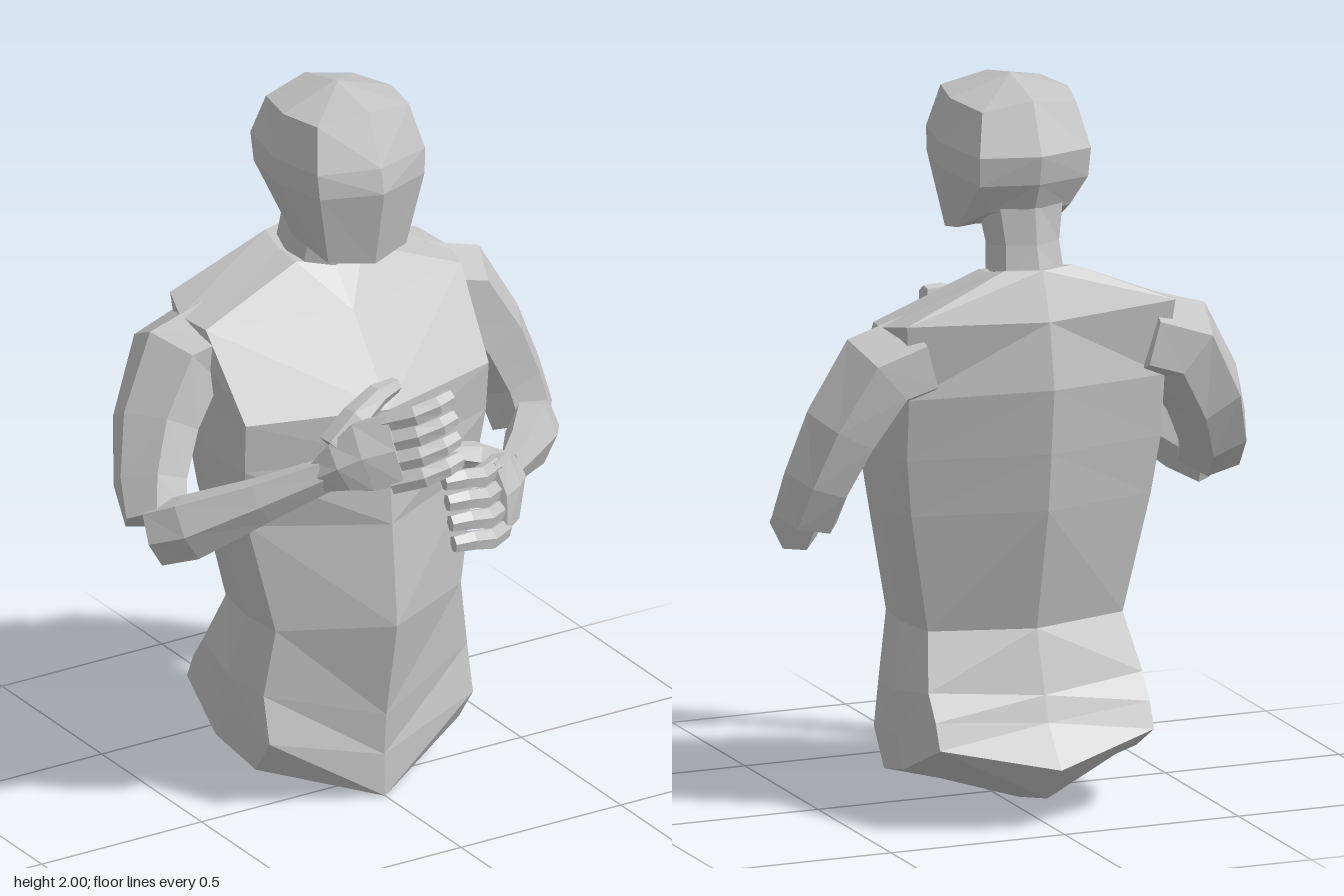
import * as THREE from 'three';

const { lerp } = THREE.MathUtils;
const V = (p) => new THREE.Vector3(p[0], p[1], p[2]);

// Skin a list of rings (counter-clockwise about the direction of travel) with flat facets and end caps
function loft(rings) {
  const out = [];
  const tri = (a, b, c) => {
    const area = b.clone().sub(a).cross(c.clone().sub(a)).length();
    if (area > 1e-7) for (const p of [a, b, c]) out.push(p.x, p.y, p.z);
  };
  const n = rings[0].length;
  for (let i = 0; i < rings.length - 1; i++) {
    for (let k = 0; k < n; k++) {
      const m = (k + 1) % n, a = rings[i], b = rings[i + 1];
      // Diagonals mirror across the two halves
      if (k < n / 2) {
        tri(a[k], a[m], b[m]);
        tri(a[k], b[m], b[k]);
      } else {
        tri(a[k], a[m], b[k]);
        tri(a[m], b[m], b[k]);
      }
    }
  }
  const cap = (ring, end) => {
    const c = ring.reduce((s, p) => s.add(p), new THREE.Vector3()).divideScalar(n);
    for (let k = 0; k < n; k++) {
      const m = (k + 1) % n;
      if (end) tri(c, ring[k], ring[m]); else tri(c, ring[m], ring[k]);
    }
  };
  cap(rings[0], false);
  cap(rings[rings.length - 1], true);
  const g = new THREE.BufferGeometry();
  g.setAttribute('position', new THREE.Float32BufferAttribute(out, 3));
  g.computeVertexNormals();
  return g;
}

// Eight-sided symmetric body; each row holds the half width, then y and z of the
// front centre, front corner, back corner and back centre
function body(rows, frontWidth, backWidth) {
  return loft(rows.map(([w, yF, zF, yFC, zFC, yBC, zBC, yB, zB]) => {
    const half = [
      [w * frontWidth, yFC, zFC],
      [w, lerp(yFC, yBC, 0.3), lerp(zFC, zBC, 0.48)],
      [w * backWidth, yBC, zBC],
    ];
    const other = half.map(([x, y, z]) => [-x, y, z]).reverse();
    return [[0, yF, zF], ...half, [0, yB, zB], ...other].map(V);
  }));
}

// Six-sided limb along a path; radii are [along ref, across] at each point
function limb(path, radii, ref) {
  const pts = path.map(V), up = V(ref);
  return loft(pts.map((p, i) => {
    const t = pts[Math.min(i + 1, pts.length - 1)].clone().sub(pts[Math.max(i - 1, 0)]).normalize();
    const u = up.clone().addScaledVector(t, -up.dot(t)).normalize();
    const v = t.clone().cross(u);
    return Array.from({ length: 6 }, (_, k) => {
      const a = ((k + 0.5) / 6) * Math.PI * 2;
      return p.clone()
        .addScaledVector(u, Math.cos(a) * radii[i][0] * 1.1)
        .addScaledVector(v, Math.sin(a) * radii[i][1]);
    });
  }));
}

export function createModel() {
  const model = new THREE.Group();
  const grey = new THREE.MeshStandardMaterial({ color: 0xc4c4c4 });
  grey.name = 'light grey';
  const add = (name, geometry, parent = model) => {
    const mesh = new THREE.Mesh(geometry, grey);
    mesh.name = name;
    parent.add(mesh);
  };

  // Torso: keel line, pelvis, waist, ribs, chest, shoulders, neck base
  add('torso', body([
    [0, 0, .12, .01, 0, .07, -.38, .17, -.48],
    [.335, 0, .12, .1, -.02, .23, -.38, .17, -.48],
    [.335, .12, .115, .2, .05, .3, -.35, .28, -.39],
    [.335, .24, .125, .33, .02, .37, -.3, .35, -.365],
    [.305, .52, .18, .52, .035, .52, -.23, .52, -.31],
    [.375, .81, .155, .83, 0, .85, -.27, .86, -.39],
    [.397, 1, .14, 1, .02, 1.01, -.29, 1.02, -.41],
    [.4, 1.14, .14, 1.14, .03, 1.18, -.31, 1.2, -.43],
    [.42, 1.36, -.04, 1.36, -.14, 1.39, -.34, 1.38, -.4],
    [.11, 1.47, -.14, 1.48, -.16, 1.51, -.32, 1.51, -.35],
  ], .95, .92));

  // Neck leaning forward into the head
  add('neck', body([
    [.1, 1.44, -.13, 1.45, -.16, 1.47, -.3, 1.47, -.34],
    [.09, 1.54, -.12, 1.55, -.14, 1.57, -.28, 1.57, -.31],
    [.11, 1.68, -.07, 1.68, -.1, 1.7, -.27, 1.7, -.295],
  ], .85, .85));

  // Head: jaw line, cheeks, brow, crown
  add('head', body([
    [.145, 1.54, .07, 1.555, .03, 1.66, -.26, 1.65, -.29],
    [.195, 1.76, .115, 1.76, .055, 1.74, -.29, 1.74, -.33],
    [.2, 1.83, .1, 1.83, .05, 1.82, -.3, 1.82, -.345],
    [.17, 1.97, .035, 1.95, .01, 1.935, -.26, 1.96, -.285],
    [0, 2, -.12, 2, -.12, 2, -.13, 2, -.13],
  ], .84, .8));

  // Arm with upper arm, forearm and a curled, slightly rolled hand
  const addArm = (name, { upper, fore, palm, finger, thumb }) => {
    const arm = new THREE.Group();
    arm.name = name;
    model.add(arm);
    const up = [0, 1, 0], rolled = [0, 1, -.3];
    add('upperArm', limb(upper, [[.13, .12], [.13, .128], [.118, .113], [.1, .1], [.08, .095]], [0, 0, 1]), arm);
    add('forearm', limb(fore, [[.08, .065], [.085, .07], [.06, .05], [.045, .035]], up), arm);
    add('palm', limb(palm, [[.045, .035], [.07, .045], [.098, .045], [.1, .032]], rolled), arm);
    add('thumb', limb(thumb, [[.05, .045], [.04, .042], [.03, .033], [.02, .022]], up), arm);
    for (let f = 0; f < 4; f++) {
      const row = finger.map(([x, y, z]) => [x, y + (f - 1.5) * .054, z - (f - 1.5) * .016]);
      add('finger', limb(row, [[.026, .024], [.028, .026], [.026, .024], [.022, .02]], rolled), arm);
    }
  };

  addArm('leftArm', {
    upper: [[.32, 1.28, -.235], [.43, 1.25, -.235], [.525, 1.1, -.22], [.585, .96, -.2], [.61, .85, -.17]],
    fore: [[.63, .83, -.14], [.57, .85, -.06], [.45, .88, .08], [.33, .91, .21]],
    palm: [[.335, .91, .2], [.3, .915, .26], [.25, .925, .32], [.18, .935, .385]],
    finger: [[.2, .925, .37], [.12, .935, .425], [.06, .95, .435], [.005, .95, .43]],
    thumb: [[.28, .94, .255], [.19, 1, .255], [.1, 1.03, .25], [.02, 1.03, .235]],
  });
  addArm('rightArm', {
    upper: [[-.32, 1.28, -.235], [-.43, 1.25, -.235], [-.525, 1.1, -.19], [-.585, .97, -.12], [-.605, .89, -.06]],
    fore: [[-.63, .865, -.02], [-.57, .9, .05], [-.42, .99, .17], [-.28, 1.07, .27]],
    palm: [[-.29, 1.065, .26], [-.25, 1.1, .3], [-.2, 1.13, .335], [-.13, 1.155, .385]],
    finger: [[-.15, 1.14, .37], [-.08, 1.165, .42], [-.02, 1.185, .435], [.03, 1.19, .42]],
    thumb: [[-.25, 1.14, .27], [-.18, 1.21, .265], [-.11, 1.255, .255], [-.04, 1.26, .235]],
  });
  return model;
}
